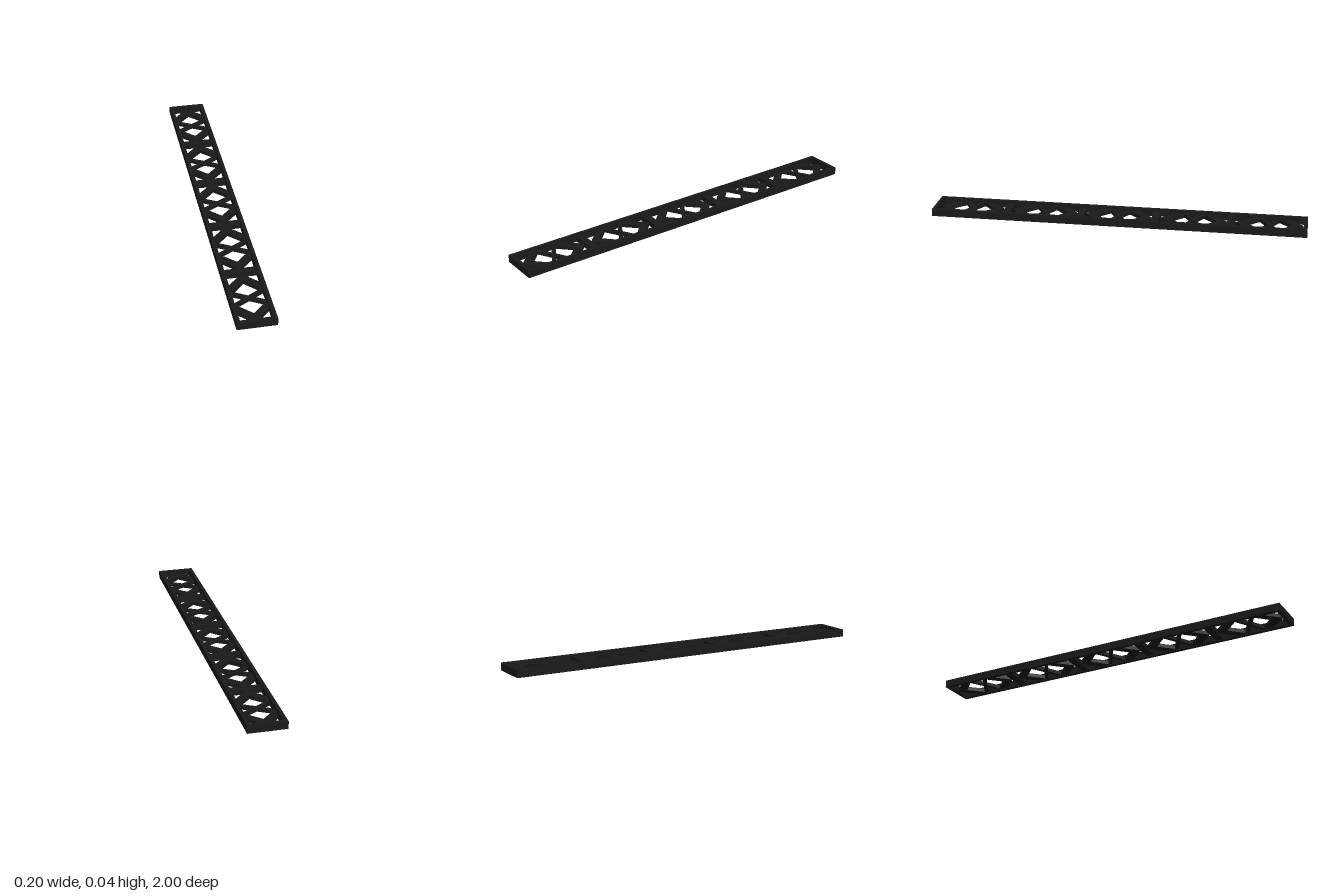
import * as THREE from 'three';

export function createModel() {
  const model = new THREE.Group();
  const mat = new THREE.MeshStandardMaterial({ color: 0x1a1a1a });

  const add = (parent, name, geometry, x, y, z) => {
    const mesh = new THREE.Mesh(geometry, mat);
    mesh.name = name;
    mesh.position.set(x, y, z);
    parent.add(mesh);
    return mesh;
  };

  // Outer frame: two long rails and two end bars
  for (const s of [1, -1]) {
    add(model, s > 0 ? 'leftRail' : 'rightRail', new THREE.BoxGeometry(0.02, 0.04, 2), s * 0.09, 0.02, 0);
    add(model, s > 0 ? 'frontEndBar' : 'backEndBar', new THREE.BoxGeometry(0.16, 0.04, 0.02), 0, 0.02, s * 0.99);
  }

  // Rungs dividing the frame into five bays
  const rung = new THREE.BoxGeometry(0.16, 0.026, 0.04);
  for (const z of [-0.6, -0.2, 0.2, 0.6]) add(model, 'rung', rung, 0, 0.016, z);

  // Broad 45 degree chevron, apex towards +z, ends meeting the rails
  const outer = 0.179, inner = 0.123, w = 0.081;
  const outline = [[0, outer], [-w, outer - w], [-w, inner - w], [0, inner], [w, inner - w], [w, outer - w]];
  const chevron = new THREE.ExtrudeGeometry(
    new THREE.Shape(outline.map(([x, z]) => new THREE.Vector2(x, z))),
    { depth: 0.02, bevelEnabled: false });
  chevron.translate(0, 0, -0.01);
  chevron.rotateX(Math.PI / 2);

  // Thin diagonal for the central cross
  const brace = new THREE.BoxGeometry(0.19, 0.018, 0.02);

  // Lattice in each bay
  for (let i = -2; i <= 2; i++) {
    const bay = new THREE.Group();
    bay.name = 'latticeBay';
    bay.position.set(0, 0.015, i * 0.4);
    add(bay, 'frontChevron', chevron, 0, 0, 0);
    add(bay, 'backChevron', chevron, 0, 0, 0).rotation.y = Math.PI;
    for (const s of [1, -1]) add(bay, 'crossBrace', brace, 0, 0, 0).rotation.y = s * Math.PI / 6;
    model.add(bay);
  }
  return model;
}
